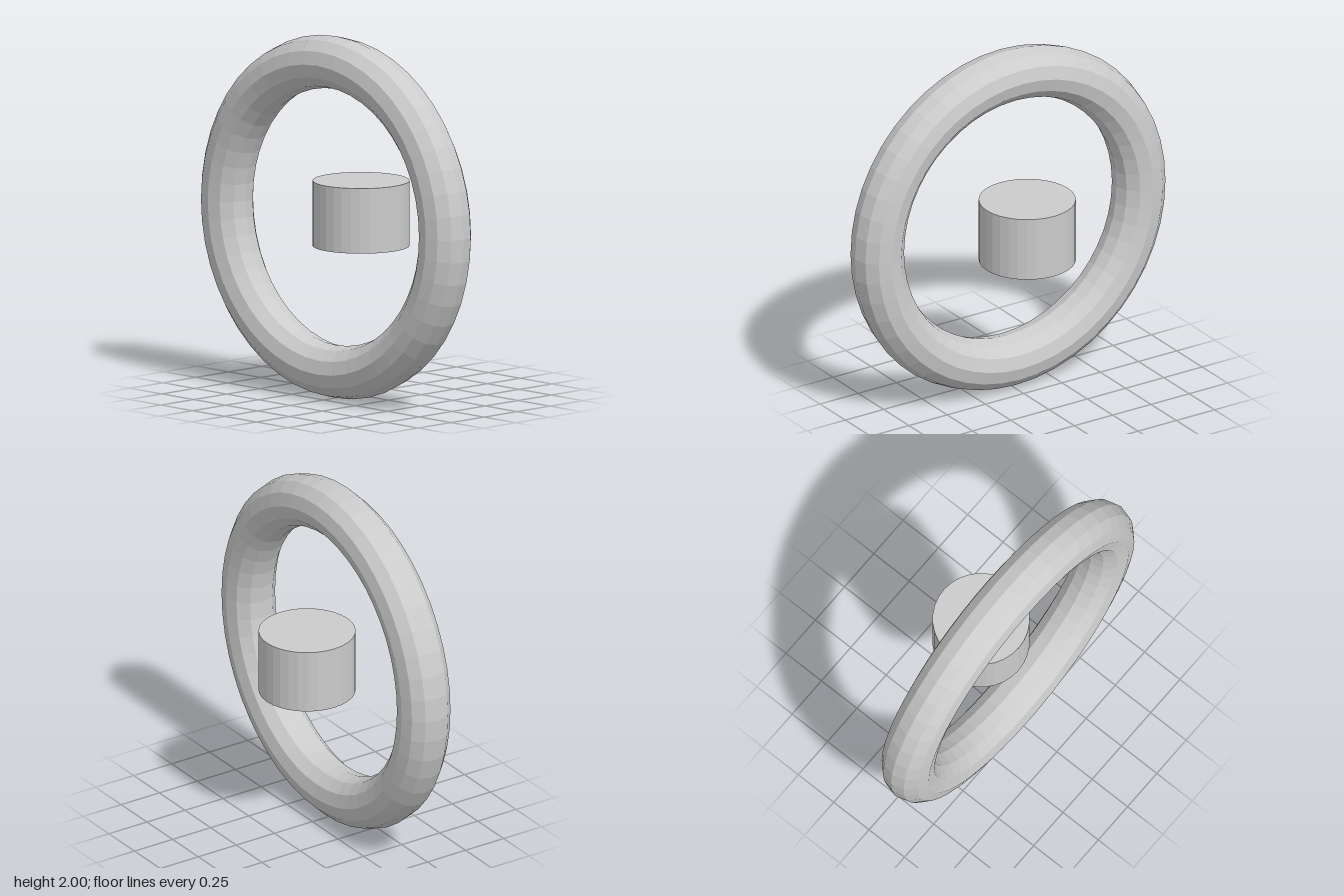
import * as THREE from 'three';

export function createModel() {
  const group = new THREE.Group();
  const material = new THREE.MeshStandardMaterial({ color: 0xcccccc, flatShading: true });

  const add = (name, geometry, y, z) => {
    const mesh = new THREE.Mesh(geometry, material);
    mesh.name = name;
    mesh.position.set(0, y, z);
    group.add(mesh);
  };

  // upright ring, set forward of the hub
  const tube = 0.146;
  add('ring', new THREE.TorusGeometry(1 - tube, tube, 12, 48), 1, 0.155);

  // free-standing cylinder with a vertical axis, behind the ring's centre
  add('hub', new THREE.CylinderGeometry(0.265, 0.265, 0.36, 32), 1, -0.035);

  return group;
}
